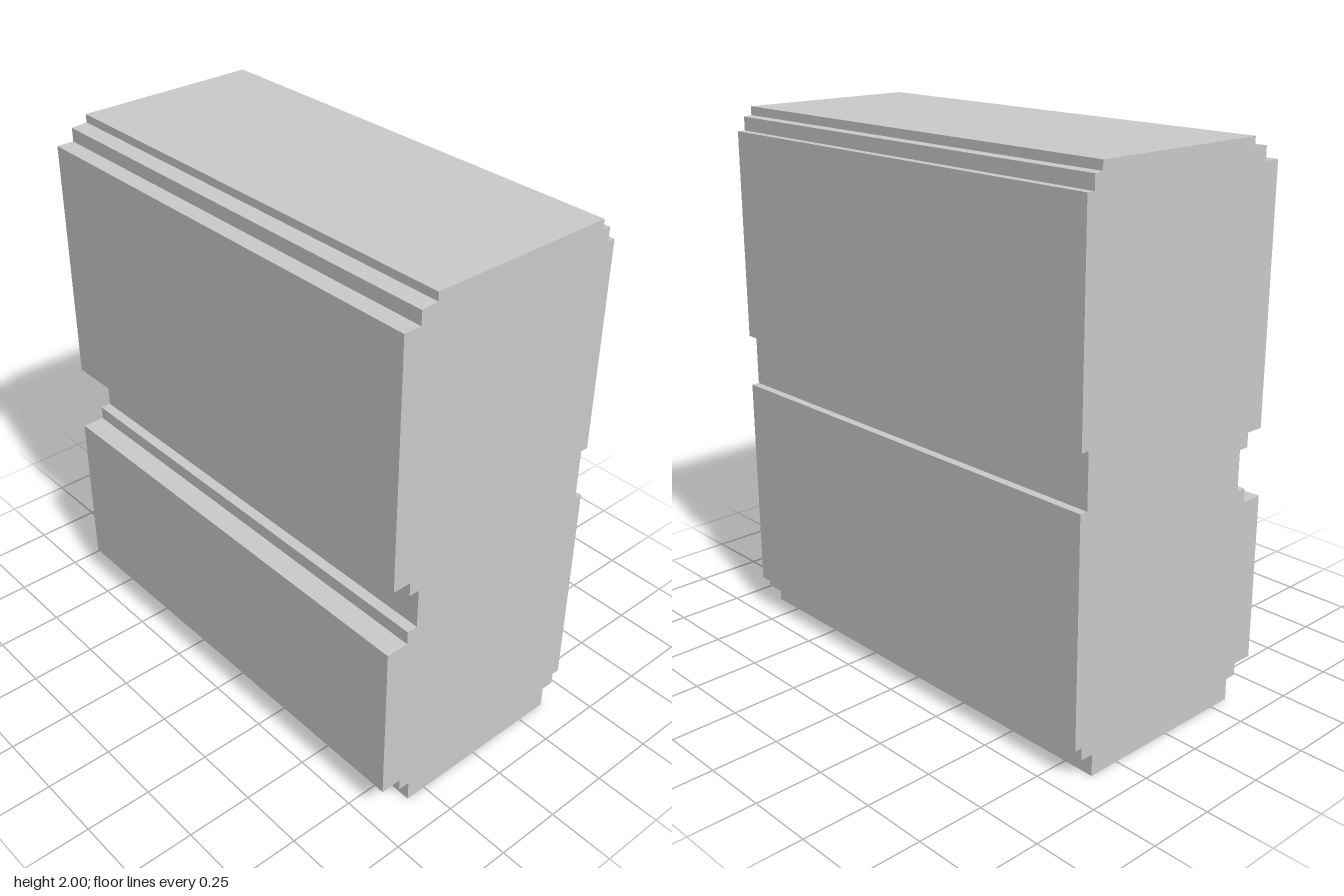
import * as THREE from 'three';

const DEPTH = 1.74;

export function createModel() {
  const group = new THREE.Group();
  group.name = 'steppedBlock';

  // Right edge of the cross-section, bottom to top
  const rightEdge = [
    [0.37, 0], [0.37, 0.08], [0.42, 0.08], [0.42, 0.125], [0.45, 0.125],
    [0.45, 0.945], [0.42, 0.945], [0.42, 1.14], [0.45, 1.14], // shallow groove
    [0.45, 1.915], [0.42, 1.915], [0.42, 1.965], [0.388, 1.968], [0.388, 2],
  ];
  // Left edge, top to bottom
  const leftEdge = [
    [-0.314, 2], [-0.314, 1.97], [-0.375, 1.965], [-0.375, 1.915], [-0.44, 1.915],
    [-0.44, 1.003], [-0.37, 1.003], [-0.37, 0.95], [-0.33, 0.95], // deep stepped groove
    [-0.33, 0.8], [-0.37, 0.8], [-0.37, 0.75], [-0.455, 0.75],
    [-0.455, 0.125], [-0.375, 0.125], [-0.375, 0.08], [-0.33, 0.08], [-0.33, 0],
  ];
  const profile = new THREE.Shape(
    [...rightEdge, ...leftEdge].map(([x, y]) => new THREE.Vector2(x, y)));

  // Straight extrusion centred on z
  const geometry = new THREE.ExtrudeGeometry(profile, { depth: DEPTH, bevelEnabled: false });
  geometry.translate(0, 0, -DEPTH / 2);

  const body = new THREE.Mesh(geometry, new THREE.MeshStandardMaterial({ color: 0xcccccc }));
  body.name = 'groovedBody';
  group.add(body);
  return group;
}
